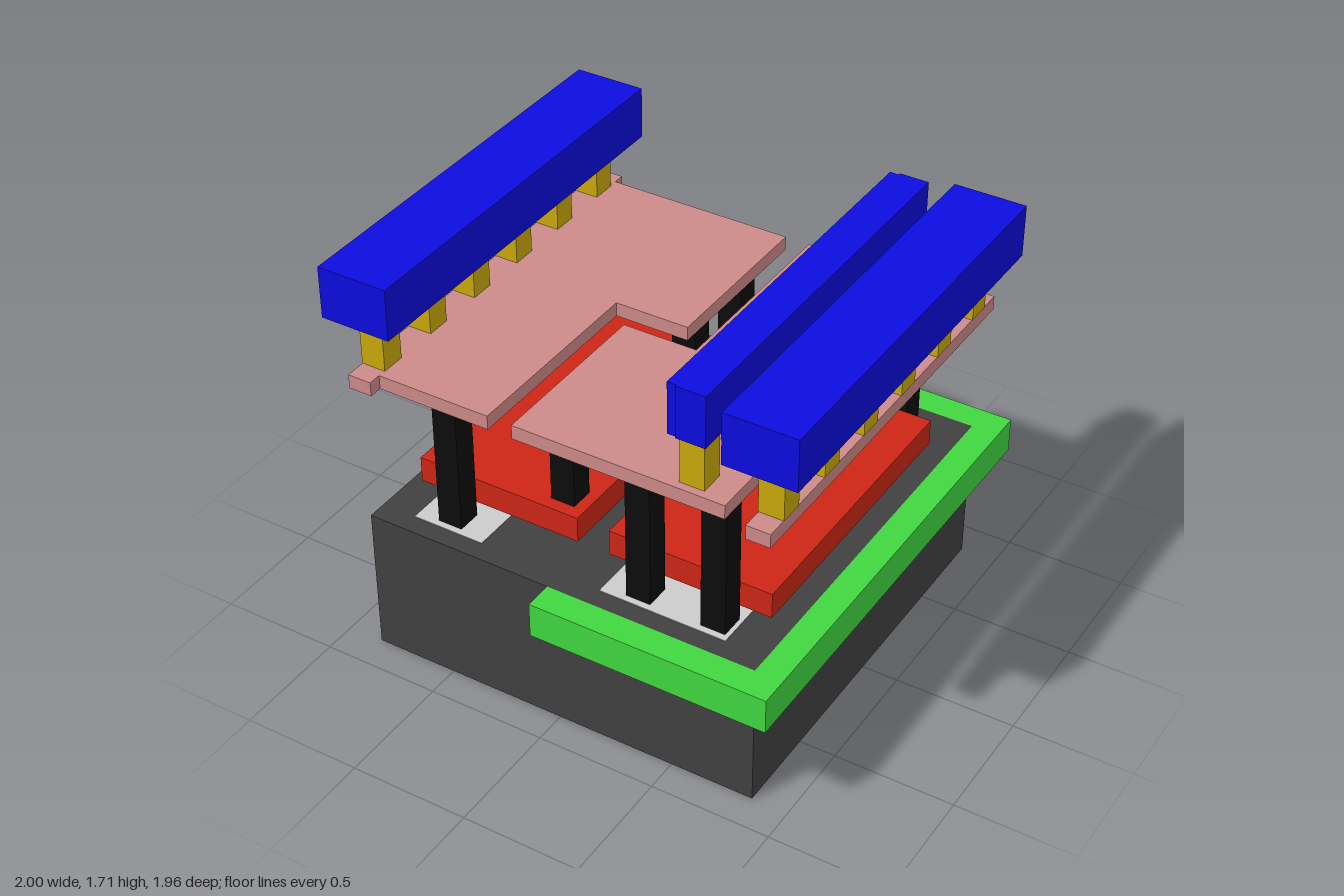
import * as THREE from 'three';

const mat = (color) => new THREE.MeshStandardMaterial({ color });
const MATS = {
  substrate: mat(0x404040), well: mat(0x40d640), diffusion: mat(0xcccccc), gate: mat(0xcc2616),
  contact: mat(0x0c0c0c), lowerMetal: mat(0xcc8a88), via: mat(0xc9a80c), upperMetal: mat(0x0c0cdf),
};

// Box given by its extents on each axis
function box(name, material, [x0, x1], [y0, y1], [z0, z1]) {
  const mesh = new THREE.Mesh(new THREE.BoxGeometry(x1 - x0, y1 - y0, z1 - z0), material);
  mesh.position.set((x0 + x1) / 2, (y0 + y1) / 2, (z0 + z1) / 2);
  mesh.name = name;
  return mesh;
}

// Flat plate from an outline of [x, z] points
function plate(name, material, [y0, y1], outline) {
  const shape = new THREE.Shape(outline.map(([x, z]) => new THREE.Vector2(x, z)));
  const geo = new THREE.ExtrudeGeometry(shape, { depth: y1 - y0, bevelEnabled: false });
  geo.rotateX(Math.PI / 2).translate(0, y1, 0);
  const mesh = new THREE.Mesh(geo, material);
  mesh.name = name;
  return mesh;
}

export function createModel() {
  const model = new THREE.Group();
  model.name = 'layeredCell';

  // Base block and the rim wrapped around its left half
  model.add(box('substrate', MATS.substrate, [-0.85, 0.85], [0, 0.63], [-0.86, 0.86]));
  model.add(plate('wellRim', MATS.well, [0.48, 0.63], [
    [-0.04, -0.98], [0.965, -0.98], [0.965, 0.98], [-0.04, 0.98],
    [-0.04, 0.86], [0.85, 0.86], [0.85, -0.86], [-0.04, -0.86],
  ]));

  // Pale strips set in the top of the base
  for (const x of [[-0.7, -0.39], [0.14, 0.68]]) {
    model.add(box('diffusionStrip', MATS.diffusion, x, [0.6, 0.633], [-0.78, 0.78]));
  }

  // Two interlocking gate slabs
  const gateY = [0.67, 0.78];
  model.add(plate('rightGate', MATS.gate, gateY, [
    [-0.78, -0.62], [-0.285, -0.62], [-0.285, 0.065], [-0.06, 0.065], [-0.06, 0.62], [-0.78, 0.62],
  ]));
  model.add(plate('leftGate', MATS.gate, gateY, [
    [0.78, 0.62], [0.08, 0.62], [0.08, -0.07], [-0.15, -0.07], [-0.15, -0.62], [0.78, -0.62],
  ]));

  // Black contact pillars: outer rows, then the pairs passing through the gates
  const pillars = [[-0.16, 0.515], [-0.16, 0.17], [-0.045, -0.165], [-0.045, -0.51]];
  for (const x of [-0.555, 0.29, 0.61]) pillars.push([x, 0.7], [x, -0.7]);
  for (const [x, z] of pillars) {
    model.add(box('contactPillar', MATS.contact, [x - 0.052, x + 0.052], [0.62, 1.21], [z - 0.052, z + 0.052]));
  }

  // Lower metal: two plates split by a stepped slot, plus a separate rail
  const metalY = [1.21, 1.27];
  model.add(plate('rightPlate', MATS.lowerMetal, metalY, [
    [-0.9, -0.86], [-0.8, -0.86], [-0.8, -0.81], [0.005, -0.81], [0.005, -0.06], [-0.315, -0.06],
    [-0.315, 0.805], [-0.8, 0.805], [-0.8, 0.86], [-0.9, 0.86],
  ]));
  model.add(plate('leftPlate', MATS.lowerMetal, metalY, [
    [0.11, -0.81], [0.685, -0.81], [0.685, 0.805], [-0.21, 0.805], [-0.21, 0.05], [0.11, 0.05],
  ]));
  model.add(box('leftRail', MATS.lowerMetal, [0.8, 0.9], metalY, [-0.86, 0.86]));

  // Rows of square posts
  for (const x of [-0.85, 0.53, 0.85]) {
    for (let i = 0; i < 6; i++) {
      const z = (i - 2.5) * 0.288;
      model.add(box('viaPost', MATS.via, [x - 0.052, x + 0.052], [1.27, 1.49], [z - 0.052, z + 0.052]));
    }
  }

  // Upper metal bars; the middle one has slightly stepped ends
  const barY = [1.49, 1.71];
  model.add(box('rightBar', MATS.upperMetal, [-1, -0.7], barY, [-0.86, 0.86]));
  model.add(box('leftBar', MATS.upperMetal, [0.7, 1], barY, [-0.86, 0.86]));
  model.add(plate('middleBar', MATS.upperMetal, barY, [
    [0.45, -0.81], [0.487, -0.81], [0.487, -0.82], [0.61, -0.82],
    [0.61, 0.813], [0.487, 0.813], [0.487, 0.805], [0.45, 0.805],
  ]));
  return model;
}
